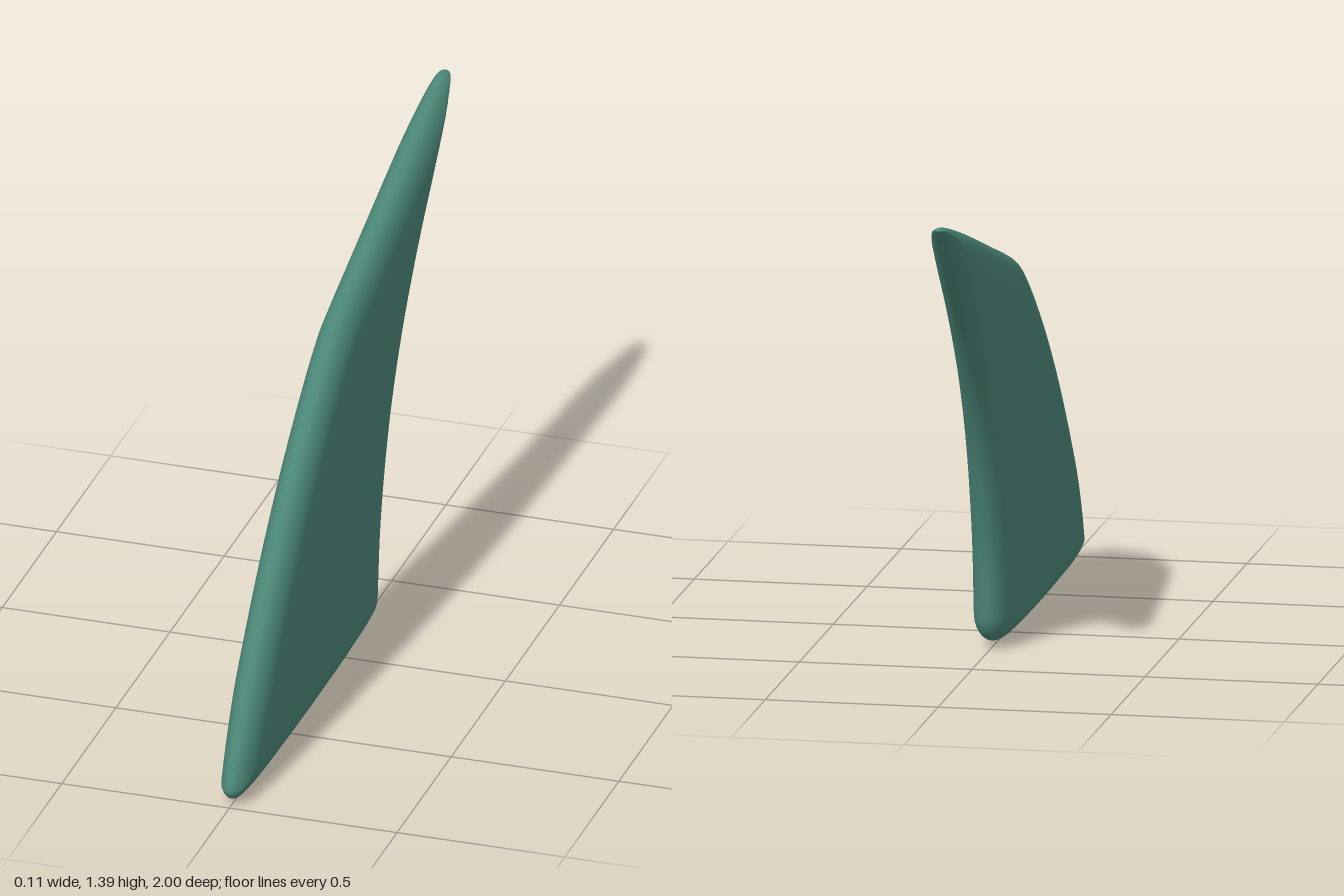
import * as THREE from 'three';

const HALF_THICKNESS = 0.057;
const EDGE_RADIUS = 0.095;
const RINGS = 24;

// Side outline as [z, y]: front tip, base, hollow trailing edge, upper tip, leading edge
const OUTLINE = [
  [1, 0.05], [0.985, 0.025], [0.93, 0.012], [0.65, 0.005], [0.35, 0.001], [0, 0.005],
  [-0.17, 0.015], [-0.23, 0.03], [-0.26, 0.07], [-0.268, 0.13], [-0.285, 0.28],
  [-0.325, 0.45], [-0.385, 0.62], [-0.48, 0.8], [-0.61, 0.98], [-0.78, 1.17],
  [-0.93, 1.32], [-0.985, 1.37], [-1, 1.385], [-0.985, 1.39], [-0.93, 1.38],
  [-0.8, 1.345], [-0.6, 1.285], [-0.3, 1.19], [-0.05, 1.11], [0.03, 1.08], [0.1, 1.04],
  [0.2, 0.97], [0.4, 0.805], [0.6, 0.605], [0.8, 0.365], [0.9, 0.22], [0.97, 0.11],
];
const CENTRE = new THREE.Vector3(0, 0.65, 0.1);
const TIPS = [new THREE.Vector3(0, 0.05, 1), new THREE.Vector3(0, 1.385, -1)];

// Half thickness: rounded rim, thinning a little more towards the two pointed tips
function halfThickness(p, rim) {
  const line = new THREE.Line3();
  const q = new THREE.Vector3();
  let d = Infinity;
  rim.forEach((a, i) => {
    line.set(a, rim[(i + 1) % rim.length]).closestPointToPoint(p, true, q);
    d = Math.min(d, q.distanceTo(p));
  });
  const e = 1 - Math.min(1, d / EDGE_RADIUS);
  let x = HALF_THICKNESS * Math.sqrt(1 - e * e);
  for (const tip of TIPS) {
    const t = 1 - Math.min(1, (tip.distanceTo(p) + 0.05) / 0.4);
    x *= 1 - 0.3 * t * t;
  }
  return x;
}

function finGeometry() {
  const curve = new THREE.CatmullRomCurve3(
    OUTLINE.map(([z, y]) => new THREE.Vector3(0, y, z)), true, 'centripetal');
  const n = OUTLINE.length * 5;
  const rim = curve.getPoints(n).slice(0, n);
  const positions = [];
  const index = [];

  // Rings run from the middle of one face, over the rim, to the middle of the other
  for (let i = -RINGS; i <= RINGS; i++) {
    const k = Math.pow(Math.abs(i) / RINGS, 3);
    for (const r of rim) {
      const p = r.clone().lerp(CENTRE, k);
      const x = i === 0 ? 0 : -Math.sign(i) * halfThickness(p, rim);
      positions.push(x, p.y, p.z);
    }
  }
  for (let i = 0; i < RINGS * 2; i++) {
    for (let j = 0; j < n; j++) {
      const a = i * n + j;
      const b = i * n + (j + 1) % n;
      if (i > 0) index.push(a, b + n, b);
      if (i < RINGS * 2 - 1) index.push(a, a + n, b + n);
      else index.push(a, a + n, b);
    }
  }
  // The closing triangles at both centres are covered by the two conditions above
  const g = new THREE.BufferGeometry();
  g.setAttribute('position', new THREE.Float32BufferAttribute(positions, 3));
  g.setIndex(index);
  g.computeVertexNormals();
  return g;
}

export function createModel() {
  const group = new THREE.Group();
  group.name = 'fin';
  const green = new THREE.MeshStandardMaterial({ color: 0x4a8576 });
  green.name = 'sea green';
  const blade = new THREE.Mesh(finGeometry(), green);
  blade.name = 'finBlade';
  group.add(blade);
  return group;
}
